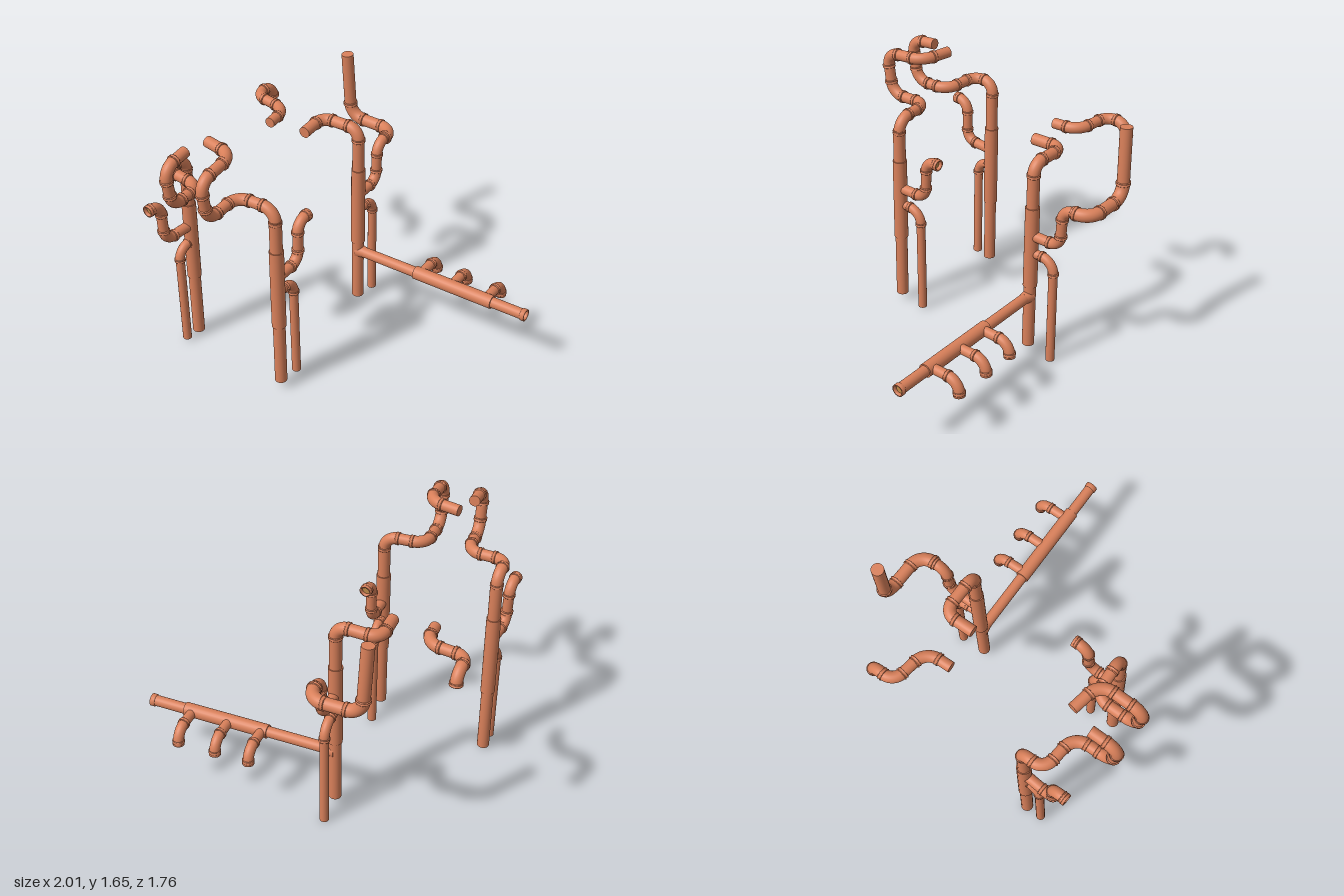
import * as THREE from 'three';

const copper = new THREE.MeshStandardMaterial({ color: 0xd9805a });
const gasket = new THREE.MeshStandardMaterial({ color: 0xc08a4a });
const UP = new THREE.Vector3(0, 1, 0);
const vec = (p) => new THREE.Vector3(...p);

function add(group, name, geometry, material = copper) {
  const mesh = new THREE.Mesh(geometry, material);
  mesh.name = name;
  group.add(mesh);
  return mesh;
}

// Straight pipe between two points
function straight(group, name, a, b, r, r2 = r) {
  const dir = b.clone().sub(a);
  const mesh = add(group, name, new THREE.CylinderGeometry(r2, r, dir.length(), 24));
  mesh.position.copy(a).addScaledVector(dir, 0.5);
  mesh.quaternion.setFromUnitVectors(UP, dir.normalize());
}

// Beaded coupling ring around a pipe
function collar(group, at, dir, r) {
  const profile = [[0, -0.011], [0.006, -0.010], [0.007, -0.006], [0.003, -0.003],
    [0.003, 0.003], [0.007, 0.006], [0.006, 0.010], [0, 0.011]];
  const points = profile.map(([x, y]) => new THREE.Vector2(r + x, y));
  const mesh = add(group, 'collar', new THREE.LatheGeometry(points, 24));
  mesh.position.copy(at);
  mesh.quaternion.setFromUnitVectors(UP, dir);
}

// Open socket: flared rim with a recessed seal inside
function socket(group, end, dir, r) {
  const profile = [[r, -0.03], [r + 0.005, -0.026], [r + 0.005, 0],
    [r - 0.005, 0], [r - 0.006, -0.012], [r - 0.006, -0.02]];
  const rim = add(group, 'socketRim',
    new THREE.LatheGeometry(profile.map(([x, y]) => new THREE.Vector2(x, y + 0.022)), 24));
  const seal = add(group, 'socketSeal', new THREE.CylinderGeometry(r - 0.003, r - 0.003, 0.004, 24), gasket);
  for (const mesh of [rim, seal]) {
    mesh.position.copy(end);
    mesh.quaternion.setFromUnitVectors(UP, dir);
  }
}

// Pipe run through corner points, with a collared elbow at each corner
function run(parent, name, coords, r, { bend = 0.075, open = false } = {}) {
  const group = new THREE.Group();
  group.name = name;
  parent.add(group);
  const pts = coords.map(vec);
  const last = pts.length - 1;
  let from = pts[0];
  for (let i = 1; i < last; i++) {
    const dIn = pts[i].clone().sub(pts[i - 1]);
    const dOut = pts[i + 1].clone().sub(pts[i]);
    const t = Math.min(bend,
      dIn.length() * (i === 1 ? 1 : 0.5), dOut.length() * (i === last - 1 ? 0.98 : 0.5));
    dIn.normalize();
    dOut.normalize();
    const a = pts[i].clone().addScaledVector(dIn, -t);
    const b = pts[i].clone().addScaledVector(dOut, t);
    if (from.distanceTo(a) > 0.002) straight(group, 'pipe', from, a, r);
    const arc = new THREE.CubicBezierCurve3(a,
      a.clone().addScaledVector(dIn, t * 0.552), b.clone().addScaledVector(dOut, -t * 0.552), b);
    add(group, 'elbow', new THREE.TubeGeometry(arc, 14, r + 0.002, 24));
    collar(group, a, dIn, r);
    collar(group, b, dOut, r);
    from = b;
  }
  straight(group, 'pipe', from, pts[last], r);
  if (open) socket(group, pts[last], pts[last].clone().sub(pts[last - 1]).normalize(), r);
}

// Vertical stack with a thicker middle sleeve
function stack(parent, name, x, z, bottom, sleeveLow, sleeveHigh) {
  const group = new THREE.Group();
  group.name = name;
  parent.add(group);
  const at = (y) => new THREE.Vector3(x, y, z);
  straight(group, 'stackPipe', at(bottom), at(1.25), 0.038);
  straight(group, 'stackSleeve', at(sleeveLow), at(sleeveHigh), 0.044);
}

export function createModel() {
  const model = new THREE.Group();
  model.name = 'drainPipework';
  const main = 0.036, branch = 0.032, small = 0.028;

  // Rear stack with its top, upper branch and side downpipe
  stack(model, 'rearStack', -0.2, -0.435, 0.047, 0.48, 1.03);
  run(model, 'rearTopRun', [[-0.2, 1.2, -0.435], [-0.2, 1.318, -0.435],
    [-0.468, 1.31, -0.44], [-0.465, 1.305, -0.24]], main);
  run(model, 'rearBranch', [[-0.2, 0.835, -0.435], [-0.2, 0.835, -0.64], [-0.2, 1.1, -0.65],
    [-0.2, 1.1, -0.73]], branch);
  run(model, 'rearVentRun', [[-0.2, 1.1, -0.72], [-0.2, 1.1, -0.835], [-0.522, 1.1, -0.843],
    [-0.54, 1.55, -0.825]], 0.038, { bend: 0.095 });
  run(model, 'rearDownpipe', [[-0.2, 0.718, -0.435], [-0.2, 0.713, -0.6], [-0.2, 0, -0.605]],
    small, { bend: 0.085 });

  // Front stack
  stack(model, 'frontStack', -0.125, 0.53, 0.055, 0.485, 1.035);
  run(model, 'frontTopRun', [[-0.125, 1.2, 0.53], [-0.125, 1.318, 0.526], [-0.385, 1.318, 0.535],
    [-0.385, 1.308, 0.805], [-0.385, 1.58, 0.845], [-0.385, 1.607, 0.56], [-0.585, 1.605, 0.52]],
  main - 0.002, { bend: 0.085 });
  run(model, 'frontBranch', [[-0.125, 0.838, 0.53], [-0.125, 0.838, 0.323], [-0.127, 1.11, 0.315],
    [-0.125, 1.108, 0.237]], branch, { open: true });
  run(model, 'frontDownpipe', [[-0.128, 0.725, 0.53], [-0.13, 0.718, 0.37], [-0.13, 0.012, 0.363]],
    small, { bend: 0.085 });

  // Right stack
  stack(model, 'rightStack', -0.875, 0.395, 0.012, 0.45, 1.0);
  run(model, 'rightTopRun', [[-0.875, 1.2, 0.395], [-0.877, 1.32, 0.39], [-0.888, 1.32, 0.545],
    [-0.635, 1.312, 0.57], [-0.63, 1.308, 0.81], [-0.63, 1.582, 0.85], [-0.63, 1.6, 0.665]],
  main - 0.002, { bend: 0.085 });
  run(model, 'rightBranch', [[-0.875, 0.838, 0.395], [-0.895, 0.838, 0.61], [-0.903, 1.11, 0.617],
    [-0.91, 1.108, 0.695]], branch, { open: true });
  run(model, 'rightDownpipe', [[-0.875, 0.72, 0.395], [-0.885, 0.715, 0.505], [-0.882, 0.015, 0.503]],
    small, { bend: 0.08 });

  // Separate offset piece at the rear right
  run(model, 'offsetRun', [[-0.705, 1.305, -0.215], [-0.71, 1.31, -0.385], [-0.962, 1.315, -0.425],
    [-0.95, 1.318, -0.57], [-0.95, 1.245, -0.58]], 0.033, { bend: 0.085 });

  // Horizontal collector with sleeve, junction cone and three outlets
  const z = -0.435;
  run(model, 'collector', [[-0.2, 0.405, z], [0.995, 0.415, z]], 0.034, { open: true });
  straight(model, 'collectorSleeve', vec([0.235, 0.409, z]), vec([0.785, 0.413, z]), 0.043);
  straight(model, 'collectorJunction', vec([-0.2, 0.405, z]), vec([-0.14, 0.406, z]), 0.044, 0.034);
  for (const x of [0.272, 0.492, 0.735]) {
    run(model, 'collectorOutlet', [[x, 0.412, z], [x, 0.41, -0.636], [x, 0.335, -0.642]],
      0.031, { open: true });
  }
  return model;
}
